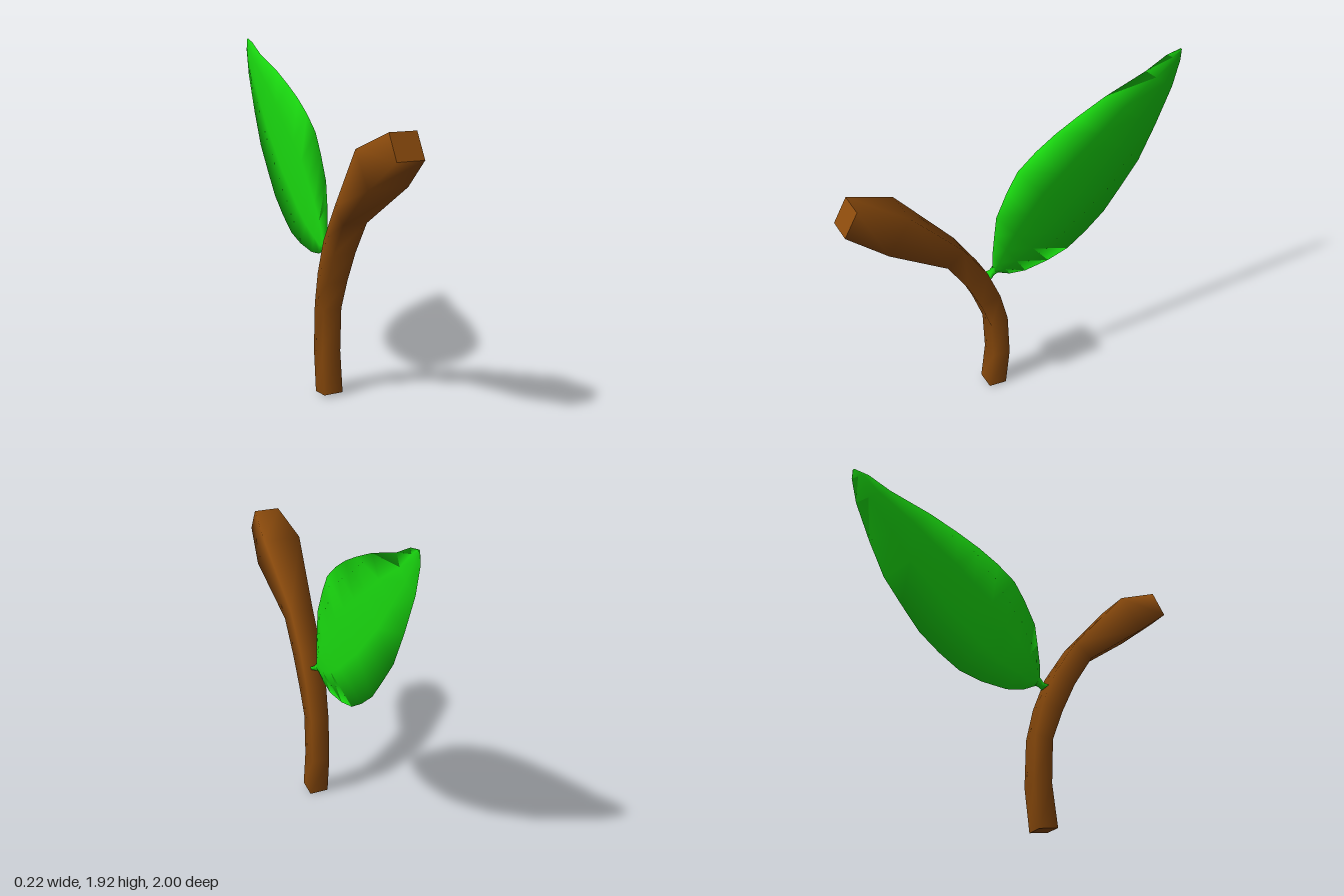
import * as THREE from 'three';

// Skin a list of equal-length rings (counter-clockwise around the travel direction), with flat end caps
function loft(rings, color, name) {
  const n = rings[0].length, pos = [], idx = [];
  rings.forEach(r => r.forEach(p => pos.push(...p)));
  for (let i = 0; i < rings.length - 1; i++) {
    for (let j = 0; j < n; j++) {
      const a = i * n + j, b = i * n + (j + 1) % n;
      idx.push(a, b, b + n, a, b + n, a + n);
    }
  }
  for (const ring of [[...rings[0]].reverse(), rings[rings.length - 1]]) {
    const s = pos.length / 3;
    ring.forEach(p => pos.push(...p));
    for (let j = 1; j < n - 1; j++) idx.push(s, s + j, s + j + 1);
  }
  const g = new THREE.BufferGeometry();
  g.setAttribute('position', new THREE.Float32BufferAttribute(pos, 3));
  g.setIndex(idx);
  g.computeVertexNormals();
  const mesh = new THREE.Mesh(g, new THREE.MeshStandardMaterial({ color }));
  mesh.name = name;
  return mesh;
}

export function createModel() {
  const model = new THREE.Group();
  model.name = 'leafyStem';

  // Stem: square sections as [front z, front y, back z, back y, half width]
  const stem = [
    [0.235, 0.015, 0.125, 0, 0.056],
    [0.205, 0.25, 0.097, 0.24, 0.055],
    [0.215, 0.5, 0.108, 0.51, 0.055],
    [0.275, 0.67, 0.155, 0.7, 0.06],
    [0.355, 0.845, 0.235, 0.9, 0.065],
    [0.47, 1.03, 0.37, 1.11, 0.068],
    [0.8, 1.27, 0.67, 1.45, 0.11],
    [1.0, 1.43, 0.925, 1.558, 0.075],
  ];
  model.add(loft(stem.map(([fz, fy, bz, by, w]) =>
    [[w, fy, fz], [w, by, bz], [-w, by, bz], [-w, fy, fz]]), 0x8a4a0c, 'stem'));

  // Leaf blade: thin lens sections as [upper z, upper y, lower z, lower y, half thickness, x offset]
  const blade = [
    [0.165, 0.86, 0.145, 0.82, 0.01, -0.01],
    [0.167, 0.95, 0.06, 0.78, 0.015, -0.006],
    [0.155, 1.08, -0.04, 0.765, 0.018, -0.003],
    [0.14, 1.2, -0.19, 0.782, 0.018, -0.003],
    [0.075, 1.34, -0.32, 0.82, 0.018, -0.003],
    [0.01, 1.45, -0.44, 0.9, 0.018, -0.003],
    [-0.1, 1.54, -0.56, 1.0, 0.018, -0.003],
    [-0.22, 1.615, -0.67, 1.14, 0.018, -0.003],
    [-0.35, 1.68, -0.775, 1.28, 0.018, -0.003],
    [-0.52, 1.755, -0.87, 1.48, 0.017, -0.003],
    [-0.77, 1.84, -0.96, 1.7, 0.016, -0.002],
    [-0.9, 1.905, -0.995, 1.85, 0.012, 0],
    [-0.985, 1.925, -0.992, 1.915, 0.004, 0.006],
  ];
  model.add(loft(blade.map(([uz, uy, lz, ly, h, x]) => {
    const at = (t, dx) => [x + dx, uy + (ly - uy) * t, uz + (lz - uz) * t];
    return [at(0, 0), at(0.33, h), at(0.67, h), at(1, 0), at(0.67, -h), at(0.33, -h)];
  }), 0x19d80f, 'leafBlade'));

  // Leaf stalk: short flared neck joining the blade to the stem
  const stalk = [
    [0.203, 0.822, 0.188, 0.808, 0.03],
    [0.178, 0.838, 0.165, 0.815, 0.014],
    [0.16, 0.865, 0.135, 0.822, 0.01],
  ];
  model.add(loft(stalk.map(([uz, uy, lz, ly, w]) =>
    [[w - 0.012, uy, uz], [w - 0.012, ly, lz], [-w - 0.012, ly, lz], [-w - 0.012, uy, uz]]), 0x19d80f, 'leafStalk'));

  return model;
}
